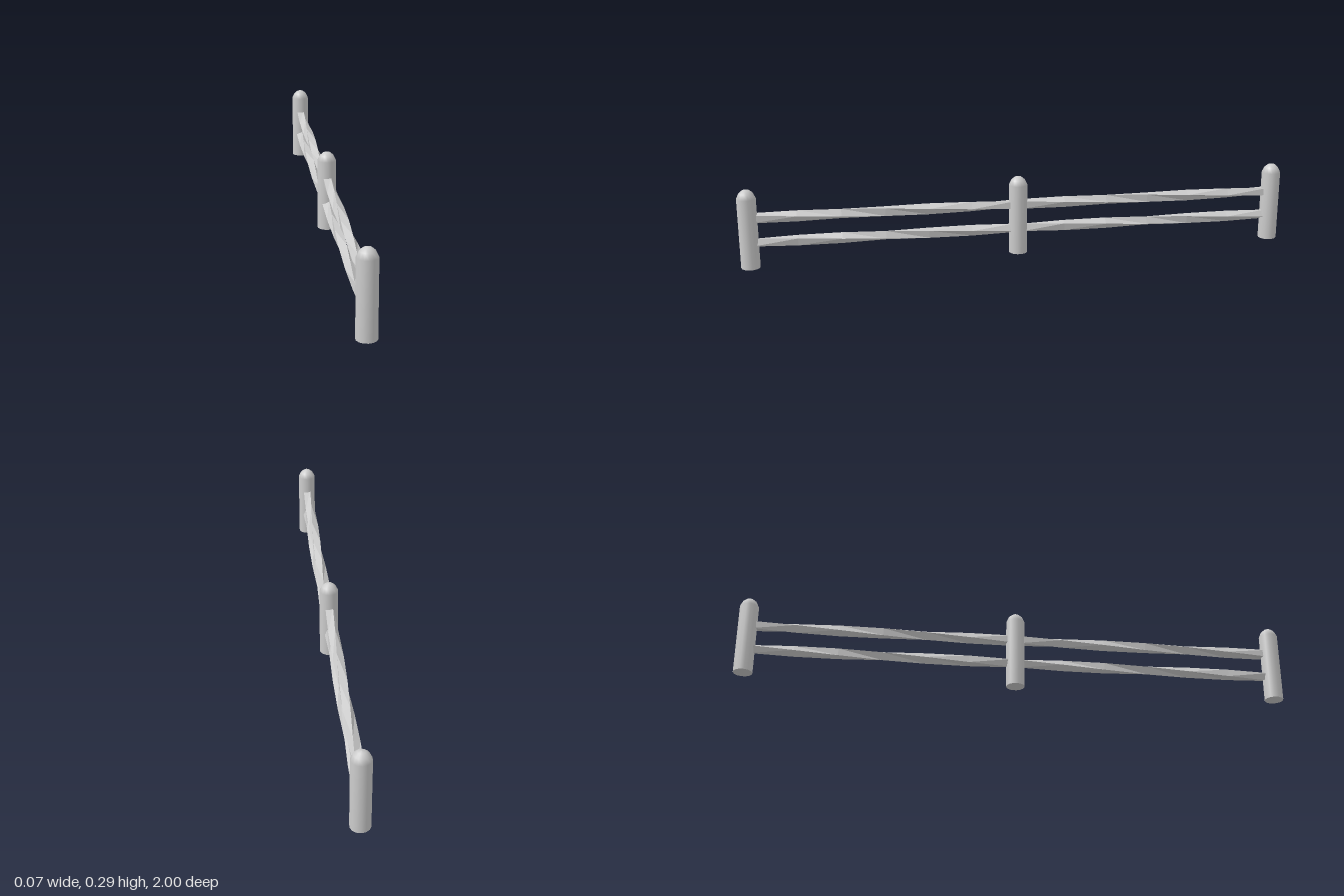
import * as THREE from 'three';
import { mergeGeometries } from 'three/addons/utils/BufferGeometryUtils.js';

const SPAN = 0.966; // distance between posts

// Round post with a domed top and a flat foot
function postGeometry() {
  const r = 0.034, sides = 14;
  const profile = [[r, 0], [r, 0.257], [0.025, 0.276], [0.013, 0.286], [0, 0.289]]
    .map(([x, y]) => new THREE.Vector2(x, y));
  const body = new THREE.LatheGeometry(profile, sides);
  const foot = new THREE.CircleGeometry(r, sides).rotateX(Math.PI / 2).rotateY(Math.PI / 2);
  return mergeGeometries([body, foot]);
}

// Square bar along z, twisted about its own axis
function railGeometry(startAngle, twist) {
  const geo = new THREE.BoxGeometry(0.028, 0.028, SPAN - 0.03, 1, 1, 6);
  const pos = geo.attributes.position;
  for (let i = 0; i < pos.count; i++) {
    const x = pos.getX(i), y = pos.getY(i), z = pos.getZ(i);
    const a = startAngle + twist * (z / SPAN + 0.5);
    pos.setXY(i, x * Math.cos(a) - y * Math.sin(a), x * Math.sin(a) + y * Math.cos(a));
  }
  geo.computeVertexNormals();
  return geo;
}

export function createModel() {
  const model = new THREE.Group();
  model.name = 'fence';
  const postMaterial = new THREE.MeshStandardMaterial({ color: 0xcccccc });
  const railMaterial = new THREE.MeshStandardMaterial({ color: 0xcccccc, flatShading: true });

  // Three posts
  const post = postGeometry();
  for (const [name, z] of [['frontPost', SPAN], ['middlePost', 0], ['backPost', -SPAN]]) {
    const mesh = new THREE.Mesh(post, postMaterial);
    mesh.name = name;
    mesh.position.z = z;
    model.add(mesh);
  }

  // Two twisted rails in each bay
  const rails = [
    ['lowerRail', 0.092, railGeometry(0.4, Math.PI)],
    ['upperRail', 0.183, railGeometry(0, Math.PI)],
  ];
  for (const [bay, z] of [['front', SPAN / 2], ['back', -SPAN / 2]]) {
    for (const [name, y, geo] of rails) {
      const mesh = new THREE.Mesh(geo, railMaterial);
      mesh.name = bay + name[0].toUpperCase() + name.slice(1);
      mesh.position.set(0, y, z);
      model.add(mesh);
    }
  }
  return model;
}
